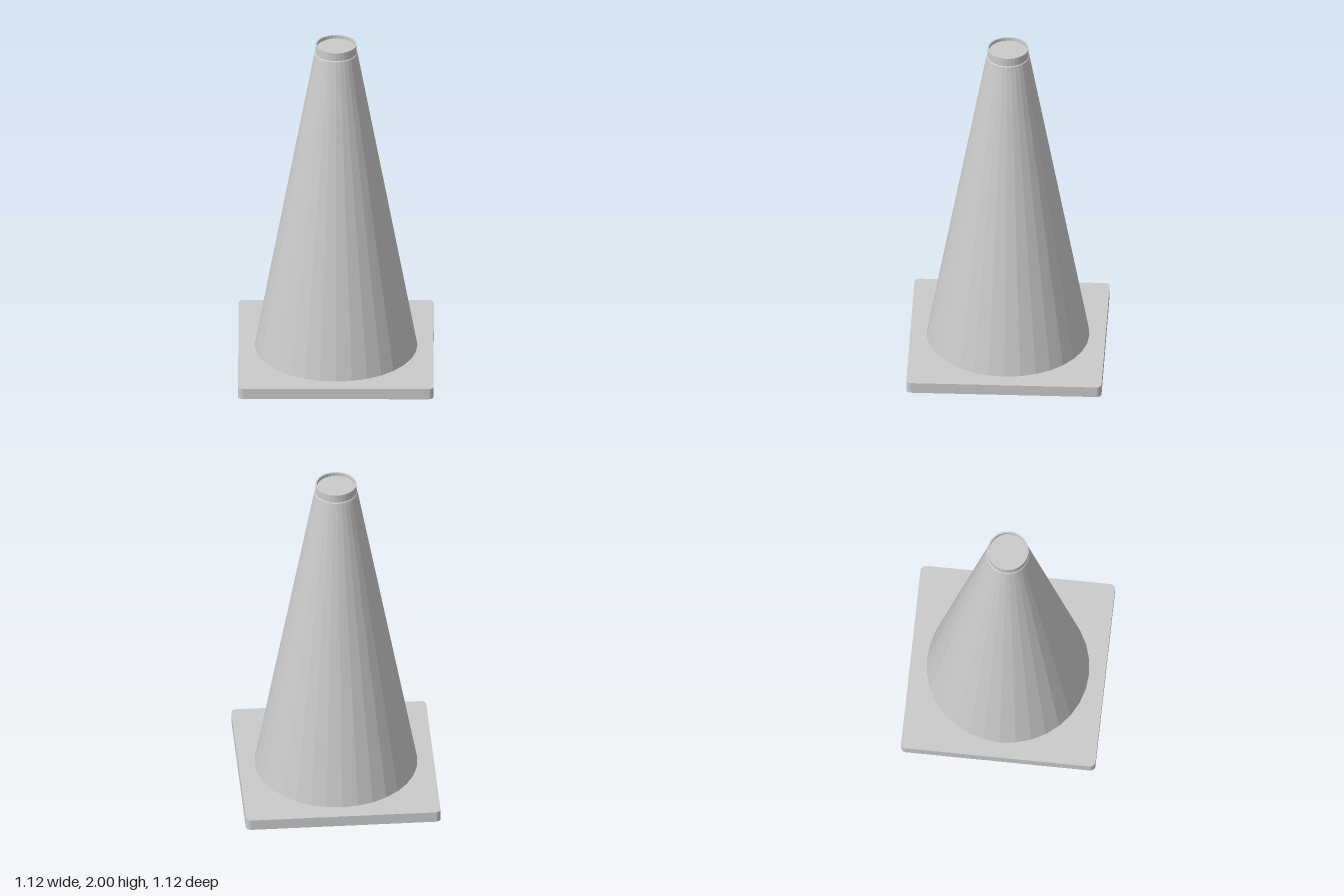
import * as THREE from 'three';

export function createModel() {
  const model = new THREE.Group();
  const material = new THREE.MeshStandardMaterial({ color: 0xcccccc, flatShading: true });
  const add = (name, geometry) => {
    const mesh = new THREE.Mesh(geometry, material);
    mesh.name = name;
    model.add(mesh);
  };

  // Square foot plate with rounded corners
  const half = 0.56, r = 0.03, height = 0.065, inner = half - r;
  const outline = new THREE.Shape();
  [[1, 1], [-1, 1], [-1, -1], [1, -1]].forEach(([sx, sy], i) => {
    outline.absarc(sx * inner, sy * inner, r, i * Math.PI / 2, (i + 1) * Math.PI / 2, false);
  });
  outline.closePath();
  const plate = new THREE.ExtrudeGeometry(outline, { depth: height, bevelEnabled: false, curveSegments: 4 });
  plate.rotateX(-Math.PI / 2);
  add('basePlate', plate);

  // Tapered body, ending in a small step under the collar
  const lathe = (points) => new THREE.LatheGeometry(points.map(([x, y]) => new THREE.Vector2(x, y)), 32);
  add('coneBody', lathe([[0.467, height], [0.123, 1.945], [0.118, 1.95]]));

  // Upright collar with a thin rim and a shallow recessed cap
  add('topCollar', lathe([[0.118, 1.95], [0.118, 2], [0.109, 2], [0.109, 1.98], [0, 1.98]]));

  return model;
}
